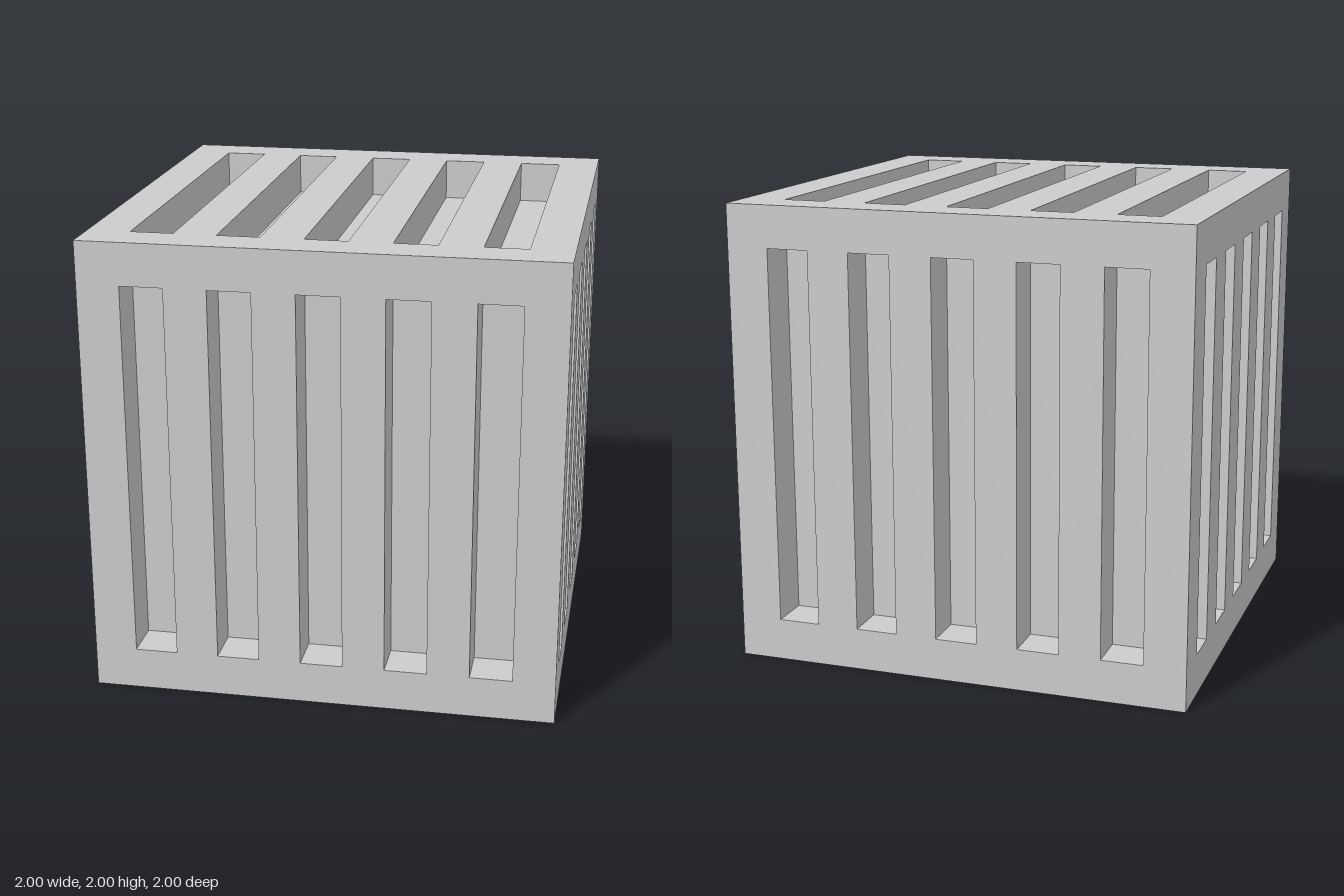
import * as THREE from 'three';
import { mergeGeometries } from 'three/addons/utils/BufferGeometryUtils.js';

const SIZE = 2;
const UNIT = SIZE / 11; // rim, bar and slot widths, and slot depth
const SLOT_LENGTH = SIZE - 2 * UNIT;

function rectangle(path, x, width, height) {
  const w = width / 2, h = height / 2;
  path.moveTo(x - w, -h);
  path.lineTo(x + w, -h);
  path.lineTo(x + w, h);
  path.lineTo(x - w, h);
  path.closePath();
  return path;
}

// Recess lining: a box turned inside out, open at its front
function slotGeometry(x) {
  const box = new THREE.BoxGeometry(UNIT, SLOT_LENGTH, UNIT);
  const index = Array.from(box.index.array);
  index.splice(24, 6); // remove the +z side
  box.setIndex(index.reverse());
  box.clearGroups();
  box.computeVertexNormals();
  return box.translate(x, 0, -UNIT / 2);
}

// One cube side: flat grille with five sunken slots
function sideGeometry() {
  const outline = rectangle(new THREE.Shape(), 0, SIZE, SIZE);
  const slots = [];
  for (let i = -2; i <= 2; i++) {
    const x = i * 2 * UNIT;
    outline.holes.push(rectangle(new THREE.Path(), x, UNIT, SLOT_LENGTH));
    slots.push(slotGeometry(x));
  }
  return mergeGeometries([new THREE.ShapeGeometry(outline), ...slots])
    .translate(0, 0, SIZE / 2);
}

export function createModel() {
  const model = new THREE.Group();
  model.name = 'slottedCube';
  const material = new THREE.MeshStandardMaterial({ color: 0xcccccc });
  const geometry = sideGeometry();
  const quarter = Math.PI / 2;

  // The same side turned to face six ways
  const sides = [
    ['frontSide', 0, 0],
    ['leftSide', 0, quarter],
    ['backSide', 0, 2 * quarter],
    ['rightSide', 0, -quarter],
    ['topSide', -quarter, 0],
    ['bottomSide', quarter, 0],
  ];
  for (const [name, rx, ry] of sides) {
    const side = new THREE.Mesh(geometry, material);
    side.name = name;
    side.rotation.set(rx, ry, 0);
    side.position.y = SIZE / 2;
    model.add(side);
  }
  return model;
}
